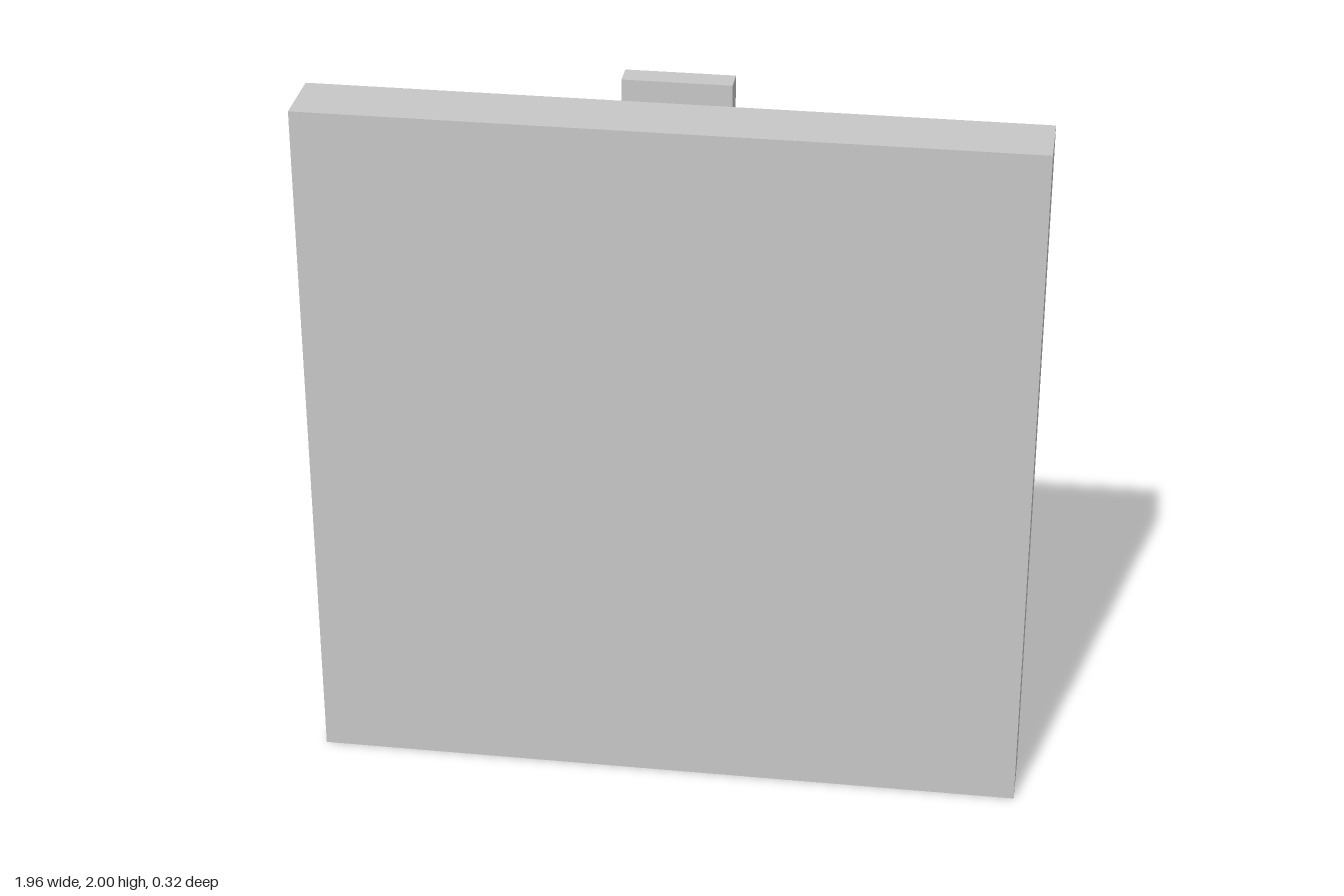
import * as THREE from 'three';

export function createModel() {
  const model = new THREE.Group();
  model.name = 'safeDoor';
  const steel = new THREE.MeshStandardMaterial({ color: 0xc7c7c7 });
  steel.name = 'light steel grey';

  // Box centred on x = 0, given its width, height range and depth range
  const slab = (name, width, y0, y1, z0, z1) => {
    const mesh = new THREE.Mesh(new THREE.BoxGeometry(width, y1 - y0, z1 - z0), steel);
    mesh.name = name;
    mesh.position.set(0, (y0 + y1) / 2, (z0 + z1) / 2);
    model.add(mesh);
  };

  // Door with two stepped panels on its back
  slab('door', 1.956, 0, 1.952, -0.032, 0.158);
  slab('outerPanel', 1.68, 0.138, 1.818, -0.056, -0.032);
  slab('innerPanel', 1.56, 0.198, 1.756, -0.079, -0.056);

  // Stepped lock box at the top edge
  slab('lockBox', 0.29, 1.712, 2, -0.126, -0.058);
  slab('lockPlate', 0.22, 1.746, 1.966, -0.142, -0.126);
  slab('lockButton', 0.18, 1.766, 1.946, -0.158, -0.142);

  // Octagonal hub and the lever running out from its centre
  const handle = new THREE.Group();
  handle.name = 'handle';
  handle.position.set(0, 0.977, 0);
  const hubGeometry = new THREE.CylinderGeometry(0.207, 0.207, 0.047, 8);
  hubGeometry.rotateY(Math.PI / 8).rotateX(Math.PI / 2);
  const hub = new THREE.Mesh(hubGeometry.toNonIndexed(), steel);
  hub.geometry.computeVertexNormals();
  hub.name = 'hub';
  hub.position.z = -0.1025;
  const lever = new THREE.Mesh(new THREE.BoxGeometry(0.624, 0.098, 0.029).translate(0.312, 0, 0), steel);
  lever.name = 'lever';
  lever.position.z = -0.1025;
  lever.rotation.z = -0.295;
  handle.add(hub, lever);
  model.add(handle);

  return model;
}
